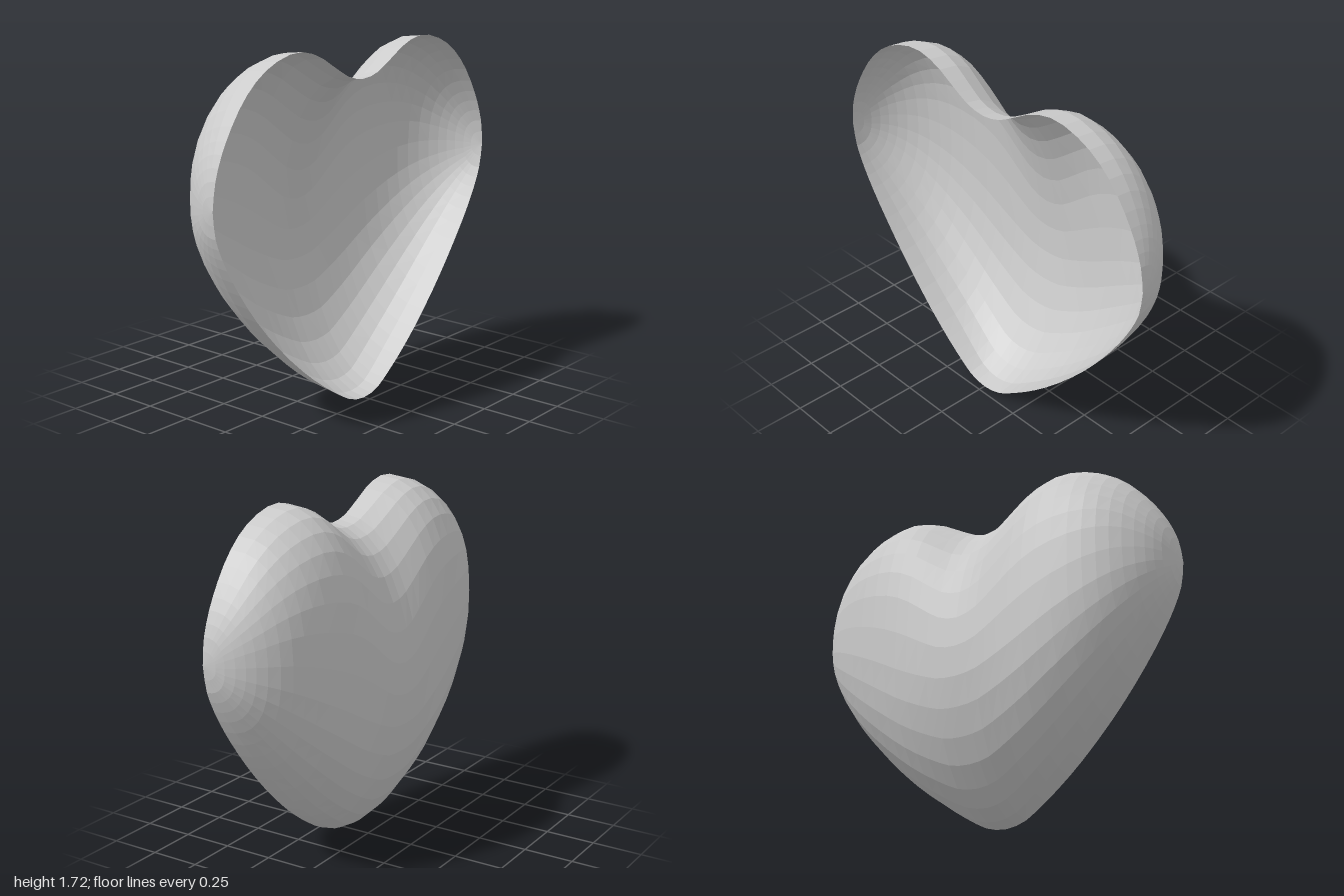
import * as THREE from 'three';

// Half outline of the heart: [z, upper y, lower y] from the notch to the side
const OUTLINE = [
  [0, 1.56, 0], [0.1, 1.578, 0.018], [0.2, 1.63, 0.075], [0.32, 1.695, 0.158],
  [0.45, 1.725, 0.265], [0.6, 1.695, 0.412], [0.72, 1.63, 0.55], [0.82, 1.535, 0.685],
  [0.9, 1.42, 0.81], [0.95, 1.325, 0.905], [0.985, 1.225, 0.995], [1, 1.11, 1.11],
];
const DEPTH = 0.411;
const SECTIONS = 40; // slices along z
const ARC = 16;      // steps around each half-oval slice

// The open rim is bowed slightly: forward at the tip, back along the lower sides
function rimX(y) {
  return y < 0.6
    ? 0.187 + 0.028 * ((0.6 - y) / 0.6) ** 2
    : 0.187 + 0.013 * Math.min(1, (y - 0.6) / 0.6);
}

function heartShell() {
  const half = OUTLINE.map(([z, top, bottom]) => new THREE.Vector3(top, bottom, z));
  const mirrored = half.slice(1).reverse().map((p) => new THREE.Vector3(p.x, p.y, -p.z));
  const curve = new THREE.CatmullRomCurve3([...mirrored, ...half]);

  const positions = [];
  const indices = [];
  for (let i = 0; i <= SECTIONS; i++) {
    const { x: top, y: bottom, z } = curve.getPoint(i / SECTIONS);
    const a = Math.min(1, Math.abs(z));
    const depth = DEPTH * Math.sqrt(1 - a ** 3.8);
    // Slices are elliptical at the centre and fuller in the lobes
    const power = 2 / (2 + 0.4 * THREE.MathUtils.smoothstep(a, 0, 0.4));
    for (let j = 0; j <= ARC; j++) {
      const t = (j / ARC) * Math.PI;
      const c = Math.cos(t);
      const s = Math.max(0, Math.sin(t));
      const up = Math.sign(c) * Math.abs(c) ** power;
      const y = (top + bottom) / 2 + ((top - bottom) / 2) * up;
      const out = j % ARC === 0 ? 0 : s ** power;
      positions.push(rimX(y) - depth * out, y, z);
    }
  }
  const row = ARC + 1;
  for (let i = 0; i < SECTIONS; i++) {
    for (let j = 0; j < ARC; j++) {
      const p = i * row + j;
      const q = p + row;
      if (i > 0) indices.push(p, p + 1, q);
      if (i < SECTIONS - 1) indices.push(p + 1, q + 1, q);
      // Close the fans at the two side points
      if (i === 0) indices.push(p, q + 1, q);
      if (i === SECTIONS - 1) indices.push(p, p + 1, q);
    }
  }
  const geometry = new THREE.BufferGeometry();
  geometry.setAttribute('position', new THREE.Float32BufferAttribute(positions, 3));
  geometry.setIndex(indices);
  geometry.computeVertexNormals();
  return geometry;
}

export function createModel() {
  const group = new THREE.Group();
  group.name = 'halfHeart';
  const material = new THREE.MeshStandardMaterial({
    color: 0xcccccc, flatShading: true, side: THREE.DoubleSide,
  });
  const shell = new THREE.Mesh(heartShell(), material);
  shell.name = 'heartShell';
  group.add(shell);
  return group;
}
